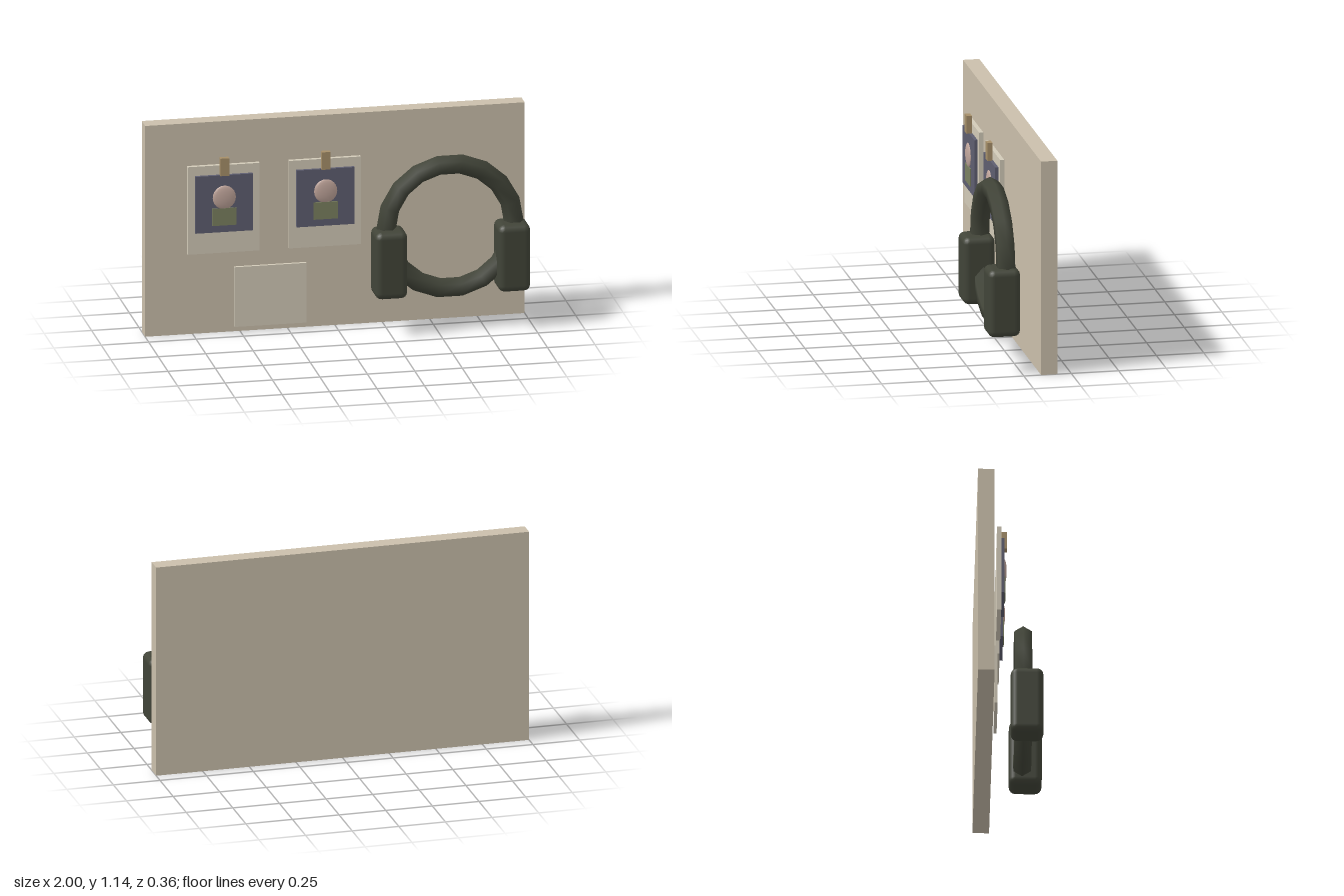
import * as THREE from 'three';
import { RoundedBoxGeometry } from 'three/addons/geometries/RoundedBoxGeometry.js';

const mat = (color) => new THREE.MeshStandardMaterial({ color });
const MATS = {
  board: mat(0xcabfab),
  paper: mat(0xd2cab8),
  photo: mat(0x5e5e70),
  skin: mat(0xc0a59b),
  shirt: mat(0x7a8060),
  clip: mat(0xa68f69),
  rubber: mat(0x414438),
};

function add(parent, name, geometry, material, x, y, z) {
  const mesh = new THREE.Mesh(geometry, material);
  mesh.name = name;
  mesh.position.set(x, y, z);
  parent.add(mesh);
  return mesh;
}

const box = (w, h, d) => new THREE.BoxGeometry(w, h, d);

// Portrait print hung from a small clip
function createPortrait(x) {
  const g = new THREE.Group();
  g.name = 'portrait';
  g.position.x = x;
  add(g, 'paper', box(0.378, 0.475, 0.022), MATS.paper, 0, 0.68, -0.065);
  add(g, 'photo', box(0.304, 0.308, 0.017), MATS.photo, 0, 0.714, -0.0445);
  add(g, 'head', new THREE.SphereGeometry(1, 16, 12), MATS.skin, 0, 0.748, -0.037)
    .scale.set(0.062, 0.064, 0.014);
  add(g, 'shirt', box(0.128, 0.093, 0.01), MATS.shirt, 0, 0.644, -0.035);
  add(g, 'clip', box(0.046, 0.095, 0.028), MATS.clip, 0, 0.916, -0.035);
  return g;
}

// Headphones: hexagonal-section ring with two rounded ear cups
function createHeadphones() {
  const g = new THREE.Group();
  g.name = 'headphones';
  g.position.x = 0.572;
  add(g, 'headband', new THREE.TorusGeometry(0.337, 0.052, 6, 18), MATS.rubber, 0, 0.554, 0.076);
  for (const side of [-1, 1]) {
    add(g, 'earCup', new RoundedBoxGeometry(0.17, 0.362, 0.17, 2, 0.035), MATS.rubber,
      side * 0.324, 0.383, 0.094);
  }
  return g;
}

export function createModel() {
  const model = new THREE.Group();
  model.name = 'pinboard';
  add(model, 'board', box(2, 1.144, 0.086), MATS.board, 0, 0.572, -0.134);
  add(model, 'blankNote', box(0.38, 0.324, 0.016), MATS.paper, -0.344, 0.192, -0.077);
  for (const x of [-0.594, -0.06]) model.add(createPortrait(x));
  model.add(createHeadphones());
  return model;
}
